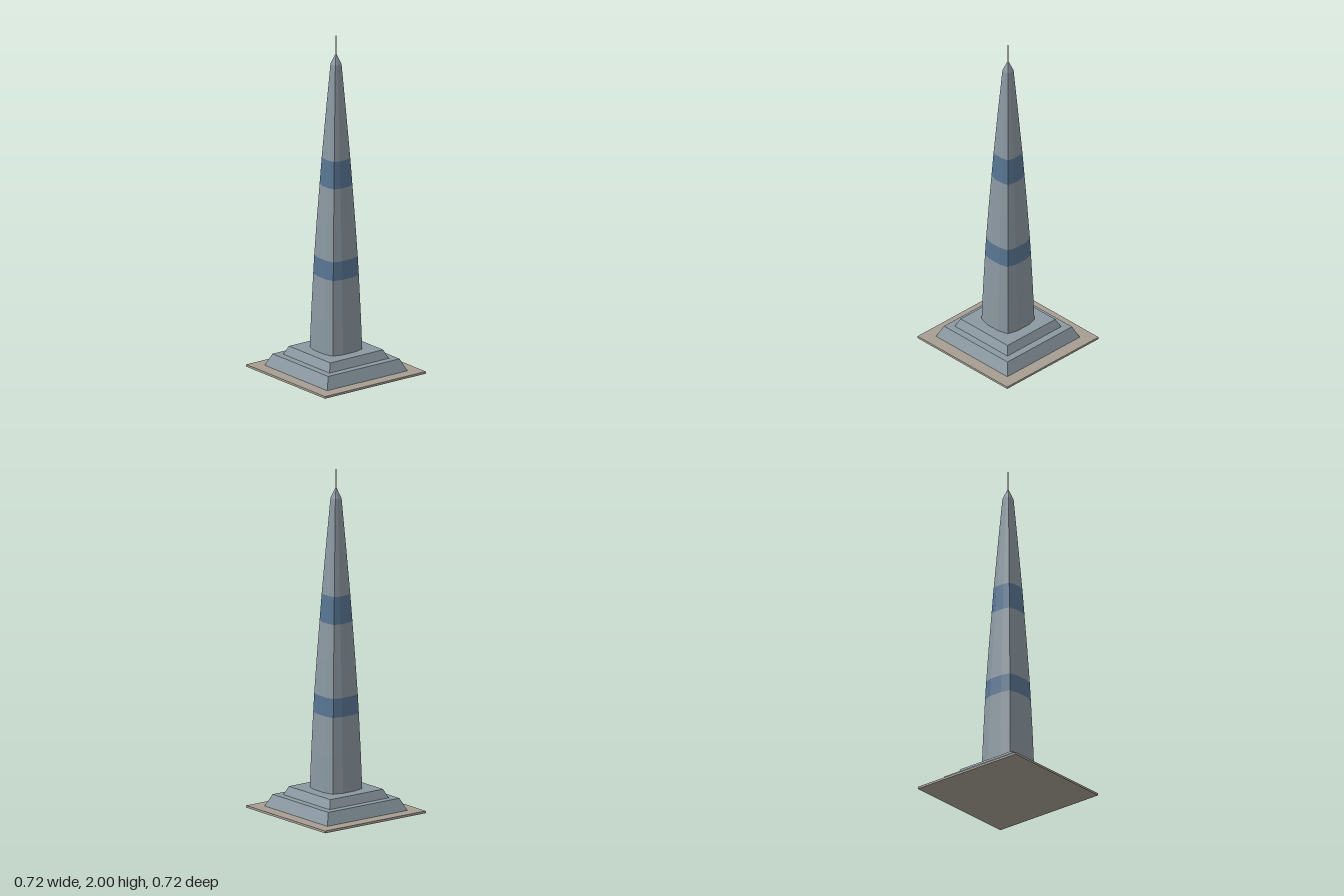
import * as THREE from 'three';

export function createModel() {
  const model = new THREE.Group();
  const mat = (name, color) => {
    const m = new THREE.MeshStandardMaterial({ color, flatShading: true });
    m.name = name;
    return m;
  };
  const stone = mat('blue grey stone', 0x8b98a1);
  const blue = mat('band blue', 0x587592);
  const paving = mat('warm paving', 0xa69e92);

  const add = (name, geometry, material, y = 0) => {
    const mesh = new THREE.Mesh(geometry, material);
    mesh.name = name;
    mesh.position.y = y;
    model.add(mesh);
  };

  // Square block with sloping sides, given by its half widths
  const frustum = (name, y0, y1, bottom, top) => {
    const g = new THREE.CylinderGeometry(top * Math.SQRT2, bottom * Math.SQRT2, y1 - y0, 4);
    add(name, g.rotateY(Math.PI / 4), stone, (y0 + y1) / 2);
  };

  // Twelve-sided rounded square, one quarter repeated four times
  const outline = [];
  for (let q = 0; q < 4; q++) {
    const c = Math.round(Math.cos(q * Math.PI / 2));
    const s = Math.round(Math.sin(q * Math.PI / 2));
    for (const [x, z] of [[1, -0.37], [1, 0.37], [0.86, 0.86]]) {
      outline.push([x * c - z * s, x * s + z * c]);
    }
  }

  // Skin between rings of [height, half width]
  const loft = (rings) => {
    const pos = [];
    const index = [];
    const n = outline.length;
    for (const [y, w] of rings) for (const [x, z] of outline) pos.push(x * w, y, z * w);
    for (let r = 0; r < rings.length - 1; r++) {
      for (let i = 0; i < n; i++) {
        const a = r * n + i, b = r * n + (i + 1) % n;
        index.push(a, a + n, b, b, a + n, b + n);
      }
    }
    const g = new THREE.BufferGeometry();
    g.setAttribute('position', new THREE.Float32BufferAttribute(pos, 3));
    g.setIndex(index);
    g.computeVertexNormals();
    return g;
  };

  // Paving and stepped plinth
  add('pavingSlab', new THREE.BoxGeometry(0.724, 0.013, 0.724), paving, 0.0065);
  frustum('lowerPlinth', 0.013, 0.083, 0.288, 0.256);
  frustum('upperPlinth', 0.083, 0.133, 0.213, 0.19);

  // Tapering shaft with two blue bands
  add('lowerShaft', loft([[0.133, 0.123], [0.35, 0.116], [0.575, 0.107]]), stone);
  add('lowerBand', loft([[0.575, 0.107], [0.685, 0.102]]), blue);
  add('middleShaft', loft([[0.685, 0.102], [0.9, 0.09], [1.11, 0.077]]), stone);
  add('upperBand', loft([[1.11, 0.077], [1.27, 0.067]]), blue);
  add('upperShaft', loft([[1.27, 0.067], [1.55, 0.047], [1.83, 0.026]]), stone);

  // Pointed cap and thin mast
  add('cap', loft([[1.83, 0.026], [1.893, 0.001]]), stone);
  add('mast', new THREE.CylinderGeometry(0.002, 0.003, 0.13, 6), paving, 1.935);

  return model;
}
